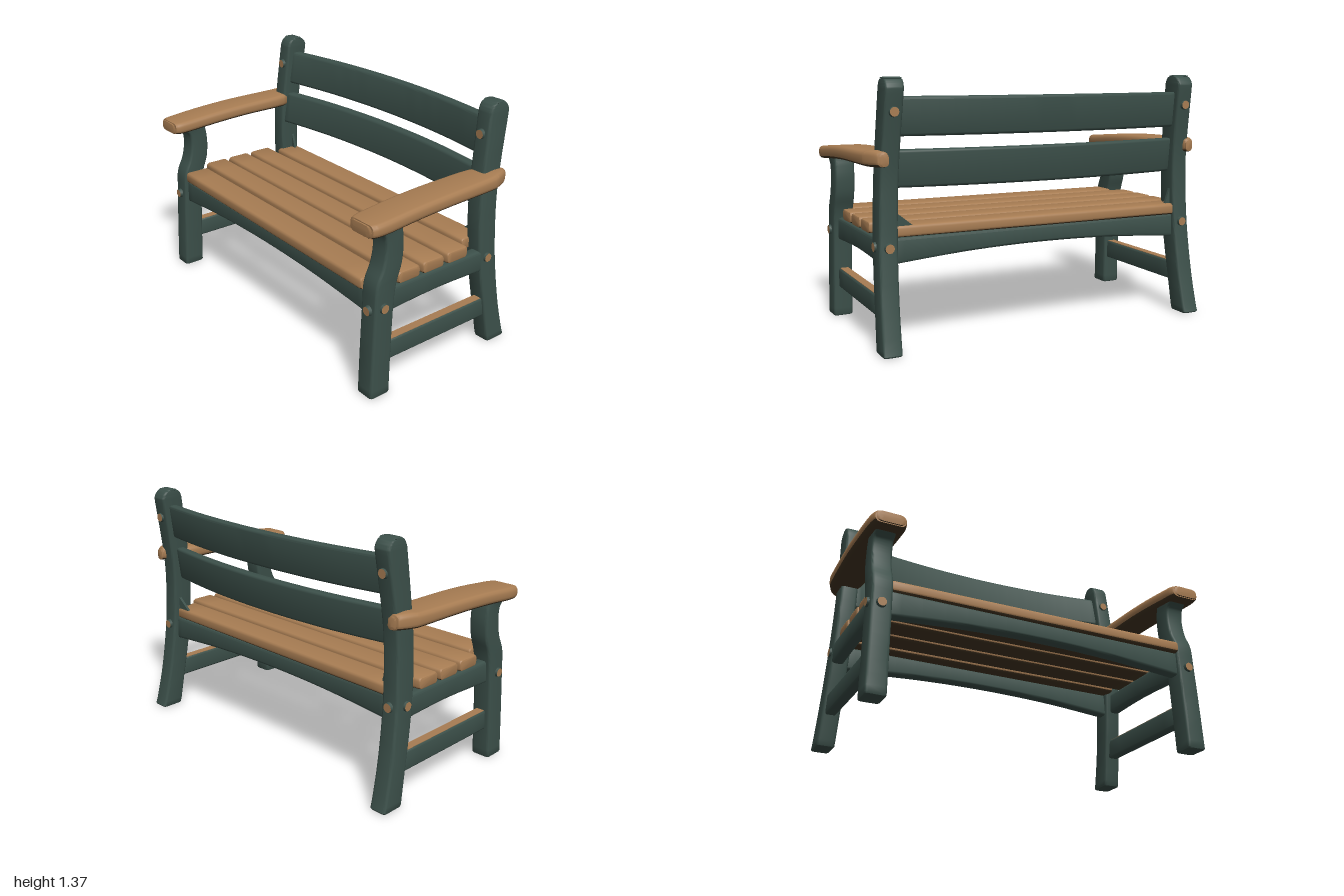
import * as THREE from 'three';
import { toCreasedNormals } from 'three/addons/utils/BufferGeometryUtils.js';

const paint = (name, color) => {
  const m = new THREE.MeshStandardMaterial({ color });
  m.name = name;
  return m;
};
const green = paint('paintedGreen', 0x3c504a);
const brown = paint('warmWood', 0xa87d53);
const dark = paint('darkUnderside', 0x463724);

// Smooth in-between values for a list of key rows
function smoothRows(keys, steps) {
  const rows = [];
  const at = (i) => keys[Math.max(0, Math.min(keys.length - 1, i))];
  for (let i = 0; i < keys.length - 1; i++) {
    for (let s = 0; s < steps; s++) {
      const t = s / steps;
      rows.push(keys[i].map((p1, c) => {
        const p0 = at(i - 1)[c], p2 = at(i + 1)[c], p3 = at(i + 2)[c];
        return p1 + 0.5 * t * (p2 - p0 + t * (2 * p0 - 5 * p1 + 4 * p2 - p3 + t * (3 * (p1 - p2) + p3 - p0)));
      }));
    }
  }
  rows.push(keys[keys.length - 1]);
  return rows;
}

// Rounded beam along an axis. Row: [t, a0, a1, b0, b1], with (t, a, b) cyclic in xyz.
function beam(axis, keys, { r = 0.015, steps = 4, mirror = false, bend = null } = {}) {
  let rows = smoothRows(keys, steps);
  const inset = ([t, a0, a1, b0, b1], dt, d) => [t + dt, a0 + d, a1 - d, b0 + d, b1 - d];
  const first = rows[0], last = rows[rows.length - 1];
  const e = r * 0.6;
  rows = [inset(first, 0, e), inset(first, e * 0.3, e * 0.3), inset(first, e, 0), ...rows.slice(1, -1),
    inset(last, -e, 0), inset(last, -e * 0.3, e * 0.3), inset(last, 0, e)];
  rows.sort((p, q) => p[0] - q[0]);

  const pos = [], idx = [], seg = 3, n = 4 * (seg + 1);
  const put = (t, a, b) => {
    const v = axis === 'x' ? [t, a, b] : axis === 'y' ? [b, t, a] : [a, b, t];
    if (bend) bend(v);
    if (mirror) v[0] = -v[0];
    pos.push(...v);
  };
  for (const [t, a0, a1, b0, b1] of rows) {
    const q = Math.min(r, (a1 - a0) * 0.45, (b1 - b0) * 0.45);
    const corners = [[a1 - q, b1 - q], [a0 + q, b1 - q], [a0 + q, b0 + q], [a1 - q, b0 + q]];
    corners.forEach(([a, b], k) => {
      for (let s = 0; s <= seg; s++) {
        const w = (k + s / seg) * Math.PI / 2;
        put(t, a + q * Math.cos(w), b + q * Math.sin(w));
      }
    });
  }
  for (let i = 0; i < rows.length - 1; i++) {
    for (let j = 0; j < n; j++) {
      const a = i * n + j, b = i * n + (j + 1) % n;
      idx.push(a, b, b + n, a, b + n, a + n);
    }
  }
  const end = (rows.length - 1) * n;
  for (let j = 1; j < n - 1; j++) {
    idx.push(0, j + 1, j, end, end + j, end + j + 1);
  }
  if (mirror) idx.reverse();
  const g = new THREE.BufferGeometry();
  g.setAttribute('position', new THREE.Float32BufferAttribute(pos, 3));
  g.setIndex(idx);
  return toCreasedNormals(g, 0.7);
}

// Groups the faces: 0 for most, 1 for those that look down
function splitUnderside(g) {
  const p = g.attributes.position, tri = new THREE.Triangle(), normal = new THREE.Vector3();
  for (let i = 0; i < p.count; i += 3) {
    tri.setFromAttributeAndIndices(p, i, i + 1, i + 2);
    const slot = tri.getNormal(normal).y < -0.6 ? 1 : 0;
    const run = g.groups[g.groups.length - 1];
    if (run && run.materialIndex === slot) run.count += 3;
    else g.addGroup(i, 3, slot);
  }
  return g;
}

export function createModel() {
  const model = new THREE.Group();
  model.name = 'gardenBench';
  const add = (name, geometry, material) => {
    const m = new THREE.Mesh(geometry, material);
    m.name = name;
    model.add(m);
    return m;
  };

  // Leg side profiles: [y, zBack, zFront]
  const frontProfile = [[0, 0.35, 0.475], [0.25, 0.342, 0.465], [0.5, 0.33, 0.452], [0.62, 0.312, 0.443],
    [0.71, 0.282, 0.405], [0.8, 0.273, 0.388], [0.87, 0.278, 0.395], [0.905, 0.285, 0.425], [0.94, 0.29, 0.46]];
  const backProfile = [[0, -0.513, -0.38], [0.2, -0.465, -0.345], [0.4, -0.432, -0.31], [0.6, -0.412, -0.287],
    [0.85, -0.408, -0.283], [1.05, -0.428, -0.3], [1.29, -0.466, -0.328], [1.33, -0.466, -0.335],
    [1.355, -0.449, -0.35], [1.372, -0.425, -0.376]];

  for (const mirror of [false, true]) {
    const side = mirror ? 'right' : 'left';
    const sx = mirror ? -1 : 1;

    // Legs, the back ones leaning inwards
    add(side + 'FrontLeg', beam('y', frontProfile.map(([y, a, b]) =>
      [y, a, b, 0.857 - 0.012 * y, 0.967 - 0.012 * y]), { mirror }), green);
    add(side + 'BackLeg', beam('y', backProfile.map(([y, a, b]) =>
      [y, a, b, 0.857 - 0.035 * y, 0.957 - 0.038 * y]), { mirror }), green);

    // Armrest, wrapping the outside of the back leg
    add(side + 'Armrest', splitUnderside(beam('z', [
      [-0.45, 0.89, 0.925, 0.94, 1.0], [-0.42, 0.885, 0.95, 0.935, 1.013], [-0.35, 0.865, 0.978, 0.933, 1.015],
      [-0.285, 0.81, 0.988, 0.933, 1.01], [0, 0.803, 0.998, 0.933, 1.005], [0.22, 0.803, 1.0, 0.923, 0.995],
      [0.4, 0.806, 1.0, 0.908, 0.98], [0.47, 0.81, 0.995, 0.904, 0.974], [0.5, 0.822, 0.985, 0.905, 0.97],
      [0.515, 0.845, 0.965, 0.912, 0.962]], { r: 0.025, mirror })), [brown, dark]);

    // Side seat rail and lower stretcher
    add(side + 'SeatRail', beam('z', [[-0.36, 0.87, 0.935, 0.452, 0.575],
      [0, 0.87, 0.935, 0.463, 0.575], [0.4, 0.87, 0.935, 0.445, 0.575]], { mirror }), green);
    add(side + 'Stretcher', beam('z', [[-0.39, 0.875, 0.935, 0.17, 0.28],
      [0.4, 0.875, 0.935, 0.17, 0.28]], { r: 0.01, mirror }), green);
    const strip = add(side + 'StretcherTop', new THREE.BoxGeometry(0.046, 0.006, 0.73), brown);
    strip.position.set(sx * 0.905, 0.279, 0.005);

    // Small corner brace above the seat
    const w = mirror ? 0.04 : 0.1, h = mirror ? 0.12 : 0.08;
    const outline = [[0, 0], [-w, 0], [0, h]].map(([x, y]) => new THREE.Vector2(sx * x, y));
    const brace = new THREE.ExtrudeGeometry(new THREE.Shape(outline), { depth: 0.015, bevelEnabled: false });
    add(side + 'CornerBrace', brace, green).position.set(sx * 0.84, 0.625, -0.375);

    // Bolt heads with painted rims and bare faces: [x, y, z, facing direction]
    const bolts = [[0.91, 0.485, 0.458, 'front'], [0.962, 0.5, 0.4, 'side'], [0.937, 0.53, -0.345, 'side'],
      [0.86, 1.205, -0.315, 'front'], [0.863, 1.205, -0.454, 'back'], [0.887, 0.53, -0.42, 'back']];
    for (const [x, y, z, facing] of bolts) {
      const g = new THREE.CylinderGeometry(0.024, 0.029, 0.022, 12);
      if (facing === 'side') g.rotateZ(-sx * Math.PI / 2);
      else g.rotateX(facing === 'front' ? Math.PI / 2 : -Math.PI / 2);
      add(side + 'Bolt', g, [green, brown, green]).position.set(sx * x, y, z);
    }
  }

  // Seat slats, slightly skewed; the middle ones reach over the side rails
  [0.37, 0.19, 0.023, -0.146, -0.32].forEach((z, i) => {
    const half = i === 0 ? 0.078 : 0.073;
    const reach = i === 0 || i === 4 ? 0.856 : 0.925;
    const slat = beam('x', [-reach, reach].map((x) => [x, 0.57, 0.634, z - half, z + half]),
      { r: 0.018, steps: 8, bend: (v) => { v[2] += 0.012 * v[0]; } });
    add('seatSlat', splitUnderside(slat), [brown, dark]);
  });

  // Arched front and rear aprons
  for (const [name, z] of [['frontApron', 0.395], ['rearApron', -0.355]]) {
    add(name, beam('x', [-0.88, -0.44, 0, 0.44, 0.88].map((x) =>
      [x, 0.482 - 0.045 * (x / 0.88) ** 2, 0.575, z - 0.035, z + 0.035])), green);
  }

  // Bowed, reclined back slats: [name, bottom, top, z at the middle]
  for (const [name, y0, y1, z] of [['upperBackSlat', 1.08, 1.277, -0.46], ['lowerBackSlat', 0.82, 1.013, -0.418]]) {
    const rows = [-0.85, -0.55, -0.28, 0, 0.28, 0.55, 0.85].map((x) => {
      const c = z + 0.08 * (x / 0.85) ** 2;
      return [x, y0, y1, c - 0.029, c + 0.029];
    });
    add(name, beam('x', rows, { bend: (v) => { v[2] -= 0.14 * (v[1] - (y0 + y1) / 2); } }), green);
  }
  return model;
}
